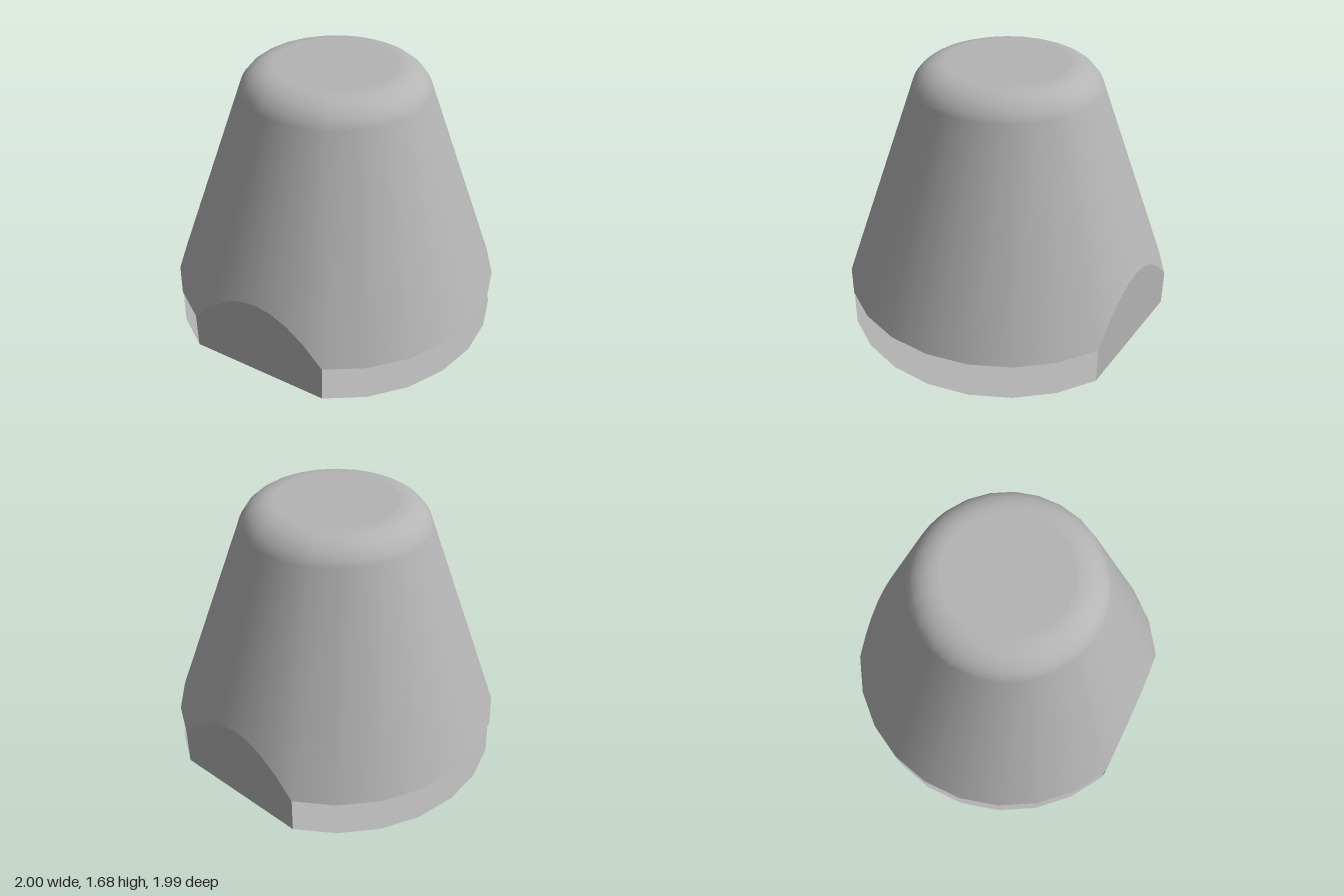
import * as THREE from 'three';

const STEP = Math.PI / 12.6;            // angle of one rim facet
const FLAT_MID = 7.8 * STEP;            // direction the front flat faces
const FLAT_DIST = Math.cos(1.8 * STEP); // distance of the flats from the axis
const RIM_Y = 0.31, BASE_Y = 0.085, TOP_Y = 1.68;
const SLOPE = Math.tan(Math.PI / 9);    // taper of the body
const FILLET = 0.2, FILLET_R = 0.363;   // rounded shoulder

// Join rows of points, running bottom to top, into an outward-facing skin
function loft(rows, closed) {
  const n = rows[0].length, index = [];
  for (let r = 0; r < rows.length - 1; r++) {
    for (let i = 0; i < (closed ? n : n - 1); i++) {
      const a = r * n + i, b = r * n + (i + 1) % n;
      index.push(a, a + n, b, b, a + n, b + n);
    }
  }
  const geo = new THREE.BufferGeometry().setFromPoints(rows.flat());
  geo.setIndex(index);
  geo.computeVertexNormals();
  return geo;
}

const polar = (t, r, y) => new THREE.Vector3(r * Math.cos(t), y, r * Math.sin(t));

// Angles across one flat, from corner to corner
const flatAngles = [];
for (let i = 0; i <= 8; i++) flatAngles.push((6 + 3.6 * i / 8) * STEP);

// Lower edge of the body: the full rim, or the curve where a flat cuts the cone
function edgePoint(t, mid) {
  const r = mid === null ? 1 : Math.min(1, FLAT_DIST / Math.cos(t - mid));
  return polar(t, r, RIM_Y + (1 - r) / SLOPE);
}

export function createModel() {
  const group = new THREE.Group();
  const grey = new THREE.MeshStandardMaterial({ color: 0xb4b4b4, side: THREE.DoubleSide });
  grey.name = 'grey';
  const add = (name, geo) => {
    const mesh = new THREE.Mesh(geo, grey);
    mesh.name = name;
    group.add(mesh);
    return mesh;
  };

  // Columns around the body: two faceted arcs and two flats
  const angles = [], lower = [], outline = [];
  for (const turn of [0, Math.PI]) {
    for (let k = -3; k < 6; k++) {
      angles.push(k * STEP + turn);
      lower.push(edgePoint(k * STEP + turn, null));
      outline.push(polar(k * STEP + turn, 1, 0));
    }
    outline.push(polar(6 * STEP + turn, 1, 0));
    for (const t of flatAngles.slice(0, -1)) {
      angles.push(t + turn);
      lower.push(edgePoint(t + turn, FLAT_MID + turn));
    }
  }

  // Tapered body with rounded shoulder
  const rows = [lower];
  for (let i = 0; i <= 8; i++) {
    const a = THREE.MathUtils.degToRad(20 + 70 * i / 8);
    const r = FILLET_R + FILLET * Math.cos(a), y = TOP_Y - FILLET + FILLET * Math.sin(a);
    rows.push(angles.map(t => polar(t, r, y)));
  }
  add('taperedBody', loft(rows, true));

  // Flat top
  const top = new THREE.Shape(angles.map(t =>
    new THREE.Vector2(FILLET_R * Math.cos(t), -FILLET_R * Math.sin(t))).reverse());
  add('topFace', new THREE.ShapeGeometry(top).rotateX(-Math.PI / 2)).position.y = TOP_Y;

  // Two opposite side flats reaching down to the base
  for (const [name, turn] of [['frontFlat', 0], ['backFlat', Math.PI]]) {
    const upper = flatAngles.map(t => edgePoint(t + turn, FLAT_MID + turn));
    const foot = upper.map(p => new THREE.Vector3(p.x, BASE_Y, p.z));
    add(name, loft([foot, upper], false));
  }

  // Base plate with a round opening, facing down
  const neckR = 0.385, flareR = 0.475;
  const plate = new THREE.Shape(outline.map(p => new THREE.Vector2(p.x, p.z)));
  plate.holes.push(new THREE.Path().absarc(0, 0, flareR, 0, Math.PI * 2, true));
  add('basePlate', new THREE.ShapeGeometry(plate, 16).rotateX(Math.PI / 2)).position.y = BASE_Y;

  // Open neck flaring into the base plate
  const profile = [new THREE.Vector2(neckR, 0)];
  for (let i = 0; i <= 6; i++) {
    const a = i / 6 * Math.PI / 2;
    profile.push(new THREE.Vector2(
      flareR - (flareR - neckR) * Math.cos(a), 0.025 + (BASE_Y - 0.025) * Math.sin(a)));
  }
  add('neck', new THREE.LatheGeometry(profile, 32));

  return group;
}
